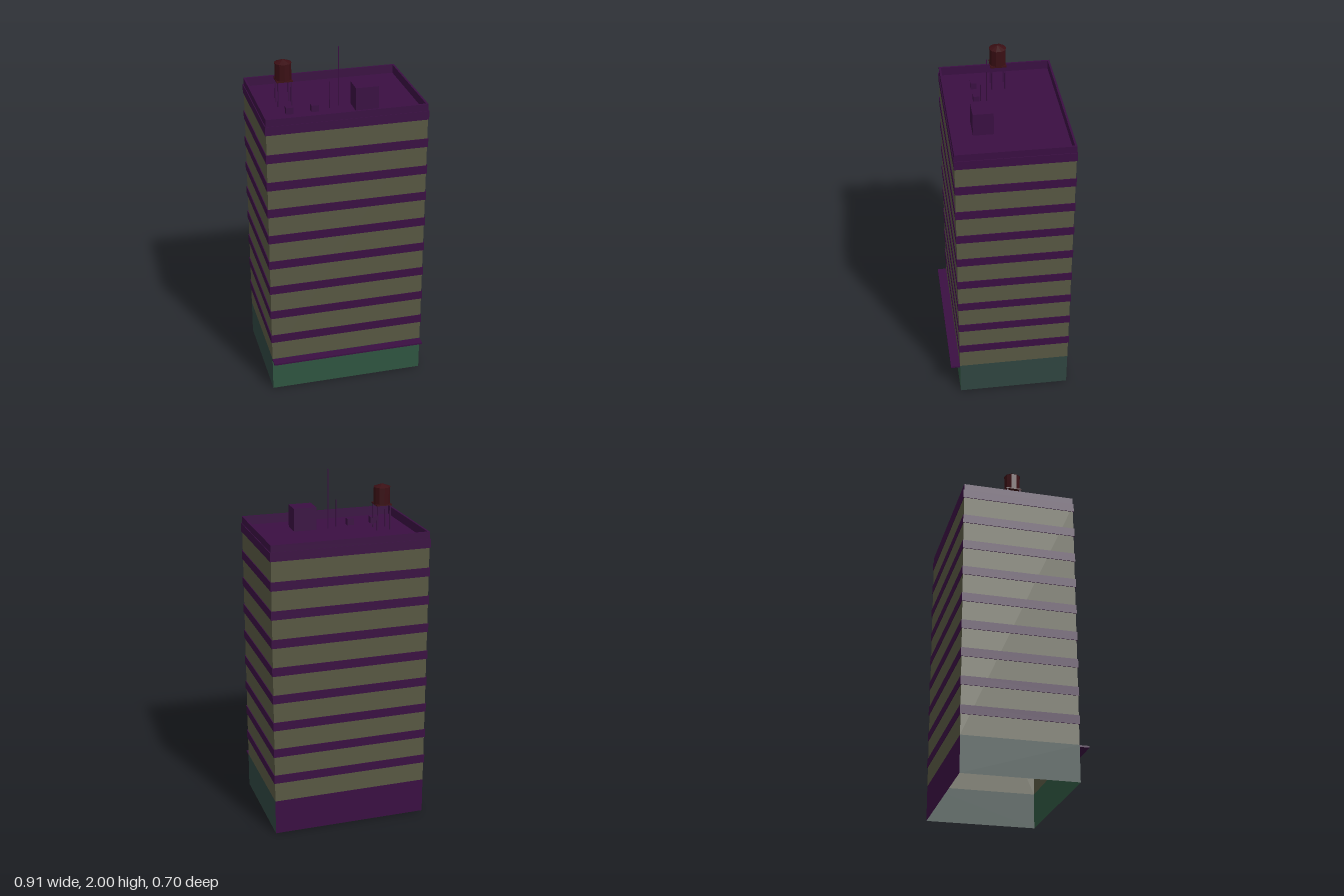
import * as THREE from 'three';

const W = 0.448, D = 0.32, CZ = -0.025; // half width, half depth, centre of the tower in z
const ROOF = 1.66, BASE = 0.205;

const mat = (color) => new THREE.MeshStandardMaterial({ color, flatShading: true, side: THREE.DoubleSide });

export function createModel() {
  const model = new THREE.Group();
  const purple = mat(0x3a0f42), olive = mat(0x575742), green = mat(0x2f5540);
  const teal = mat(0x2f4540), maroon = mat(0x3a0f14);

  const add = (name, geometry, material, x, y, z, parent = model) => {
    const mesh = new THREE.Mesh(geometry, material);
    mesh.name = name;
    mesh.position.set(x, y, z);
    parent.add(mesh);
    return mesh;
  };
  const box = (name, w, h, d, material, x, bottom, z, parent) =>
    add(name, new THREE.BoxGeometry(w, h, d), material, x, bottom + h / 2, z, parent);

  // Four thin walls, open above and below: front, back, left, right
  const walls = (name, y0, y1, mats) => {
    const g = new THREE.Group();
    g.name = name;
    ['Front', 'Back', 'Left', 'Right'].forEach((side, i) => {
      const across = i < 2, s = i % 2 ? -1 : 1;
      const geo = new THREE.PlaneGeometry(across ? 2 * W : 2 * D, y1 - y0);
      const wall = add(name + side, geo, mats[i], across ? 0 : s * W, (y0 + y1) / 2, CZ + (across ? s * D : 0), g);
      wall.rotation.y = across ? (s > 0 ? 0 : Math.PI) : s * Math.PI / 2;
    });
    model.add(g);
  };

  // Rectangular frame with a hole, lying flat
  const frame = (name, outX, outZ, inX, inZ, y, h) => {
    const rect = (T, a, b) => {
      const p = new T();
      p.moveTo(-a, -b).lineTo(a, -b).lineTo(a, b).lineTo(-a, b).closePath();
      return p;
    };
    const shape = rect(THREE.Shape, outX, outZ);
    shape.holes.push(rect(THREE.Path, inX, inZ));
    const geo = new THREE.ExtrudeGeometry(shape, { depth: h, bevelEnabled: false });
    geo.rotateX(-Math.PI / 2);
    add(name, geo, purple, 0, y, CZ);
  };

  // Ground floor, upper floors and roof
  walls('groundFloor', 0, BASE, [green, purple, teal, teal]);
  walls('tower', BASE, ROOF, [olive, olive, olive, olive]);
  add('roof', new THREE.PlaneGeometry(2 * W, 2 * D).rotateX(-Math.PI / 2), purple, 0, ROOF, CZ);
  frame('parapet', W, D, W - 0.011, D - 0.011, ROOF, 0.05);

  // Floor bands
  for (let i = 0; i < 9; i++) {
    frame('floorBand', W + 0.005, D + 0.004, W + 0.001, D + 0.001, 0.319 + i * 0.1627, 0.05);
  }

  // Canopy over the front
  box('canopy', 2 * W, 0.01, 0.054, purple, 0, 0.194, 0.322);

  // Roof hut and two vents
  box('roofHut', 0.13, 0.13, 0.112, purple, 0.14, ROOF, 0.116);
  for (const x of [-0.283, -0.142]) box('roofVent', 0.041, 0.037, 0.033, purple, x, ROOF, 0.116);

  // Antennas
  const mast = (x, z, top, r) =>
    add('antenna', new THREE.CylinderGeometry(r, r, top - ROOF, 6), purple, x, (top + ROOF) / 2, z);
  mast(0.003, 0.073, 2, 0.003);
  mast(-0.054, 0.1, 1.815, 0.002);

  // Water tank on four legs
  const tank = new THREE.Group();
  tank.name = 'waterTank';
  tank.position.set(-0.284, ROOF, CZ + 0.002);
  for (const x of [-0.037, 0.037]) {
    for (const z of [-0.037, 0.037]) box('tankLeg', 0.007, 0.145, 0.007, purple, x, 0, z, tank);
  }
  box('tankPlatform', 0.09, 0.006, 0.09, maroon, 0, 0.141, 0, tank);
  add('tankBarrel', new THREE.CylinderGeometry(0.046, 0.046, 0.097, 10), maroon, 0, 0.1945, 0, tank);
  add('tankLid', new THREE.ConeGeometry(0.049, 0.018, 10), maroon, 0, 0.251, 0, tank);
  model.add(tank);

  return model;
}
